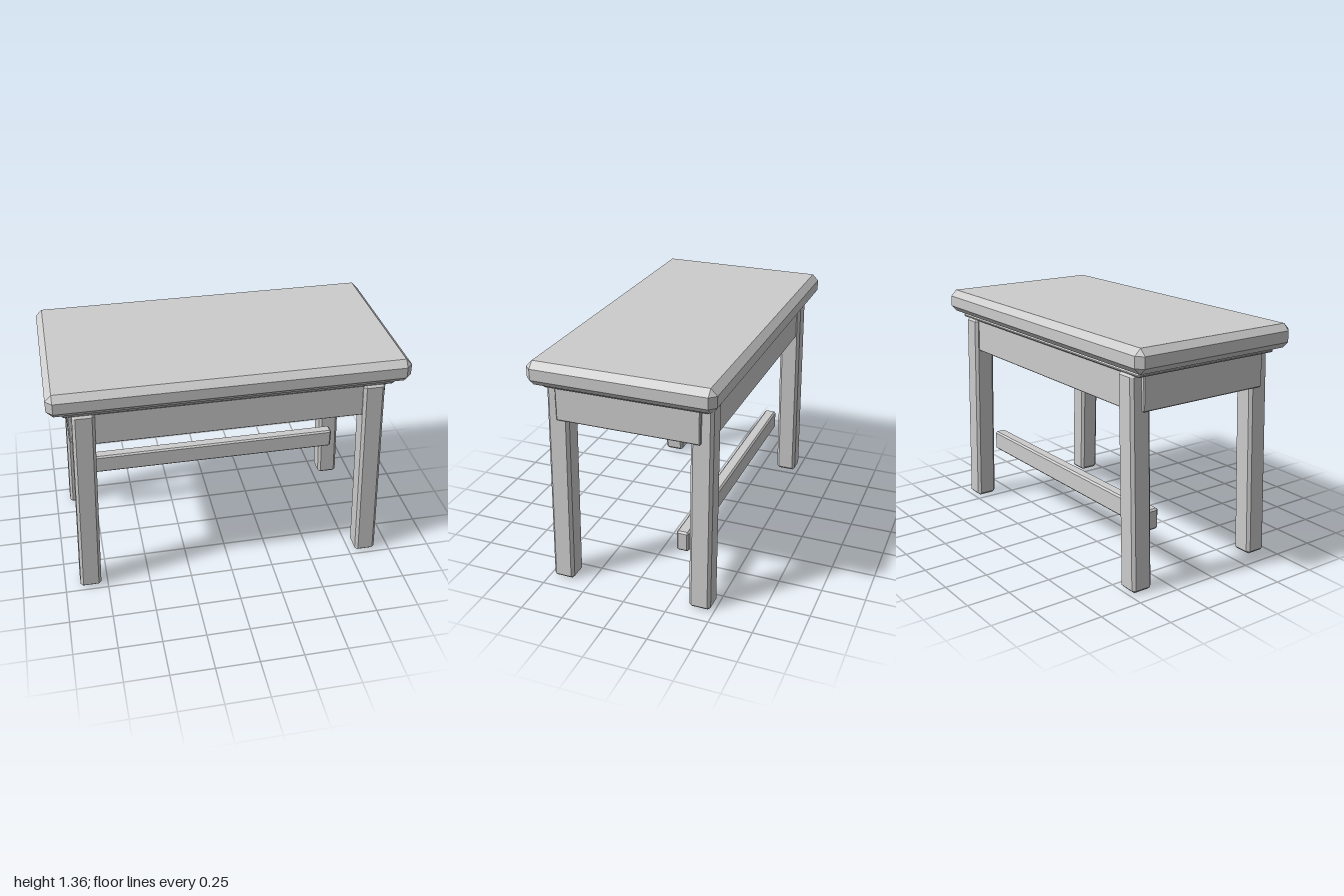
import * as THREE from 'three';
import { ConvexGeometry } from 'three/addons/geometries/ConvexGeometry.js';

// Box with single flat chamfers on every edge
function chamferBox(w, h, d, c) {
  const points = [];
  const [x, y, z] = [w / 2, h / 2, d / 2];
  for (const sx of [-1, 1]) for (const sy of [-1, 1]) for (const sz of [-1, 1]) {
    points.push(
      new THREE.Vector3(sx * x, sy * (y - c), sz * (z - c)),
      new THREE.Vector3(sx * (x - c), sy * y, sz * (z - c)),
      new THREE.Vector3(sx * (x - c), sy * (y - c), sz * z),
    );
  }
  return new ConvexGeometry(points);
}

export function createModel() {
  const group = new THREE.Group();
  group.name = 'table';
  const paint = new THREE.MeshStandardMaterial({ color: 0xcccccc });
  paint.name = 'lightGrey';

  function add(name, geometry, x, y, z) {
    const mesh = new THREE.Mesh(geometry, paint);
    mesh.name = name;
    mesh.position.set(x, y, z);
    group.add(mesh);
    return mesh;
  }

  // Thick chamfered top, with a thin slab just below it
  add('tableTop', chamferBox(2, 0.135, 1.05, 0.036), 0, 1.2925, 0);
  add('underSlab', chamferBox(1.84, 0.022, 0.93, 0.008), 0, 1.204, 0);

  // Aprons: long ones sit between the legs, end ones stand slightly proud
  for (const s of [1, -1]) {
    add(s > 0 ? 'frontApron' : 'backApron', chamferBox(1.68, 0.2, 0.05, 0.005), 0, 1.098, s * 0.425);
    add(s > 0 ? 'leftApron' : 'rightApron', chamferBox(0.05, 0.2, 0.82, 0.006), s * 0.868, 1.098, 0);
  }

  // Legs lean outward toward the floor
  for (const sx of [1, -1]) for (const sz of [1, -1]) {
    const leg = chamferBox(0.123, 1.2, 0.125, 0.016);
    leg.applyMatrix4(new THREE.Matrix4().set(
      1, -sx * 0.036, 0, 0,
      0, 1, 0, 0,
      0, -sz * 0.005, 1, 0,
      0, 0, 0, 1,
    ));
    leg.computeVertexNormals();
    add((sz > 0 ? 'front' : 'back') + (sx > 0 ? 'Left' : 'Right') + 'Leg', leg, sx * 0.829, 0.6, sz * 0.412);
  }

  // Low stretcher near the back legs
  add('stretcher', chamferBox(1.65, 0.12, 0.072, 0.01), 0, 0.354, -0.284);

  return group;
}
